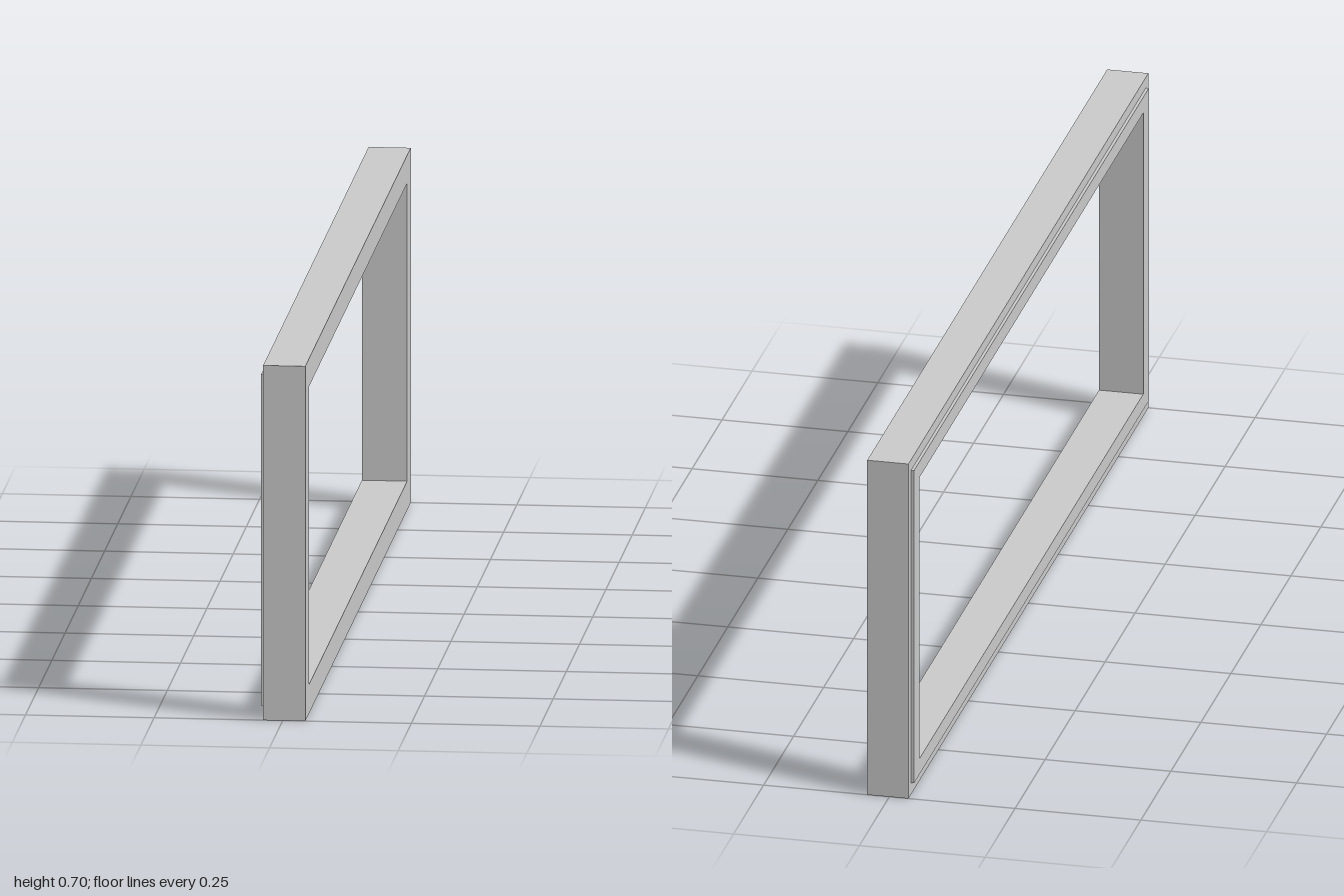
import * as THREE from 'three';

const material = new THREE.MeshStandardMaterial({ color: 0xcccccc });

// Opening shared by the frame and its raised lip
const OPENING = { z: 0.932, y0: 0.057, y1: 0.647 };

function rectangle(path, z, y0, y1) {
  path.moveTo(-z, y0);
  path.lineTo(z, y0);
  path.lineTo(z, y1);
  path.lineTo(-z, y1);
  path.closePath();
  return path;
}

// Rectangular ring in the yz plane, running from xMax down to xMin
function ring(name, z, y0, y1, xMin, xMax) {
  const shape = rectangle(new THREE.Shape(), z, y0, y1);
  shape.holes.push(rectangle(new THREE.Path(), OPENING.z, OPENING.y0, OPENING.y1));
  const geometry = new THREE.ExtrudeGeometry(shape, { depth: xMax - xMin, bevelEnabled: false });
  geometry.rotateY(-Math.PI / 2);
  geometry.translate(xMax, 0, 0);
  const mesh = new THREE.Mesh(geometry, material);
  mesh.name = name;
  return mesh;
}

export function createModel() {
  const group = new THREE.Group();
  group.name = 'rectangularFrame';
  // Main frame
  group.add(ring('frame', 1, 0, 0.702, -0.038, 0.044));
  // Thin raised lip on one face, inset from the outer edge
  group.add(ring('raisedLip', 0.978, 0.024, 0.68, -0.044, -0.038));
  return group;
}
